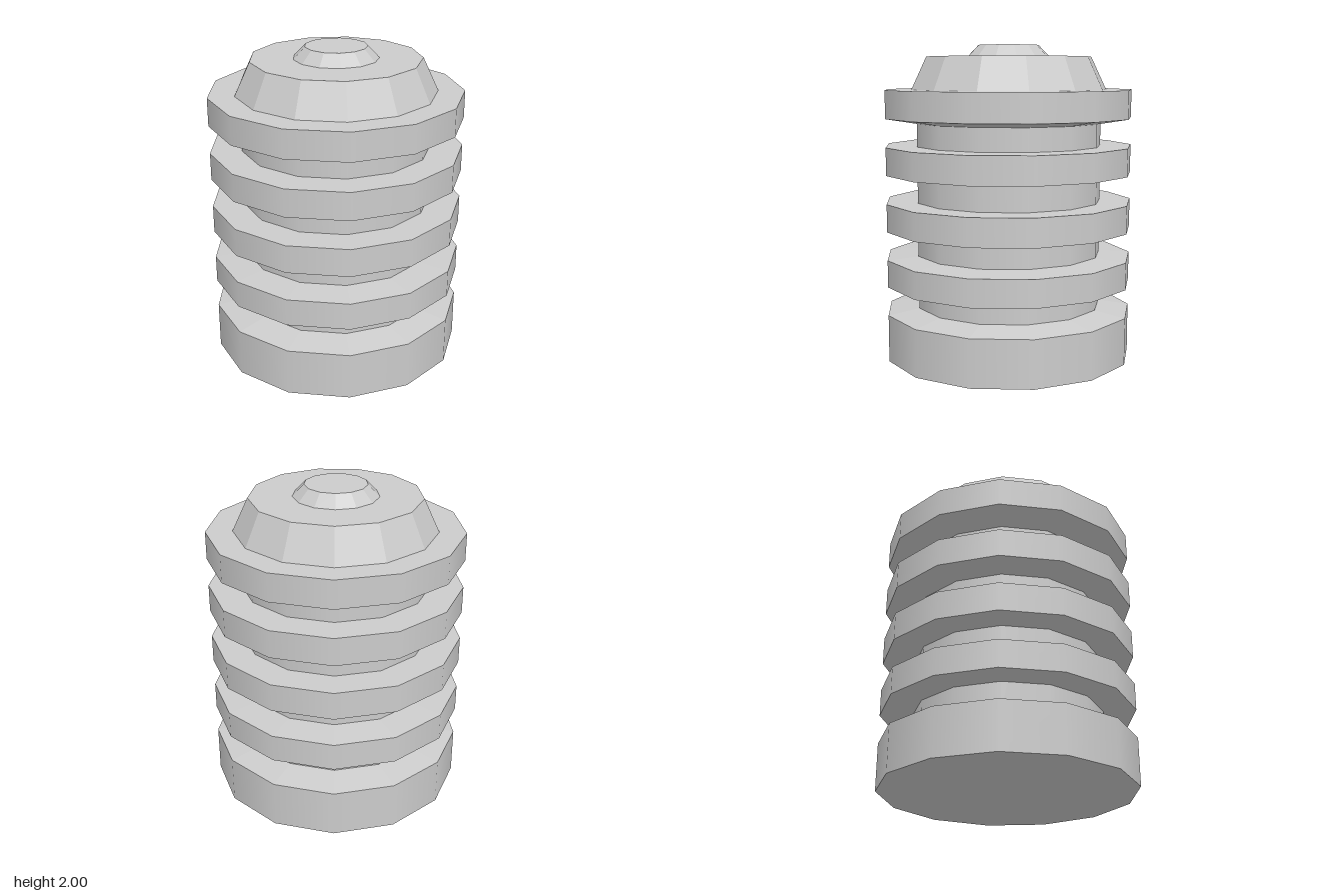
import * as THREE from 'three';

const SIDES = 13;
const RIM = 0.792;
const CORE = 0.594;

const smooth = new THREE.MeshStandardMaterial({ color: 0xcccccc });
const faceted = new THREE.MeshStandardMaterial({ color: 0xcccccc, flatShading: true });

// One ring of faces from radius r0 at height y0 up to radius r1 at y1, a corner on +x
function band(name, r0, y0, r1, y1, material = faceted) {
  const geometry = new THREE.CylinderGeometry(r1, r0, y1 - y0, SIDES, 1, true, Math.PI / 2);
  if (material === faceted) geometry.computeVertexNormals();
  const mesh = new THREE.Mesh(geometry, material);
  mesh.name = name;
  mesh.position.y = (y0 + y1) / 2;
  return mesh;
}

// Flat upward-facing cap
function cap(name, r, y) {
  const mesh = new THREE.Mesh(new THREE.CircleGeometry(r, SIDES), faceted);
  mesh.name = name;
  mesh.rotation.x = -Math.PI / 2;
  mesh.position.y = y;
  return mesh;
}

// Disc: straight rim, with top and underside that may slope in to the core
function disc(name, y0, y1, innerBottom, innerTop) {
  const group = new THREE.Group();
  group.name = name;
  group.add(
    band('rim', RIM, y0, RIM, y1, smooth),
    band('discTop', RIM, y1, CORE, innerTop),
    band('discUnderside', CORE, innerBottom, RIM, y0)
  );
  return group;
}

export function createModel() {
  const model = new THREE.Group();
  model.name = 'ribbedCylinder';

  // Inner column
  model.add(band('core', CORE, 0.3, CORE, 1.72, smooth));

  // Base with a shallow pointed underside
  model.add(
    band('baseRim', RIM, 0.014, RIM, 0.312, smooth),
    band('baseTop', RIM, 0.312, CORE, 0.345),
    band('baseUnderside', 0, 0, RIM, 0.014)
  );

  // Ribs: rim bottom, rim top, underside at the core, top at the core
  [
    [0.493, 0.664, 0.493, 0.68],
    [0.843, 1.018, 0.843, 1.018],
    [1.196, 1.37, 1.183, 1.37],
    [1.546, 1.722, 1.514, 1.722]
  ].forEach((heights, i) => model.add(disc('rib' + (i + 1), ...heights)));

  // Tapered crown and small knob
  model.add(
    band('crown', 0.627, 1.722, 0.53, 1.927),
    cap('crownTop', 0.53, 1.927),
    band('knob', 0.264, 1.927, 0.193, 2),
    cap('knobTop', 0.193, 2)
  );

  // Centre the odd-sided outline
  model.children.forEach((part) => { part.position.x -= 0.012; });
  return model;
}
